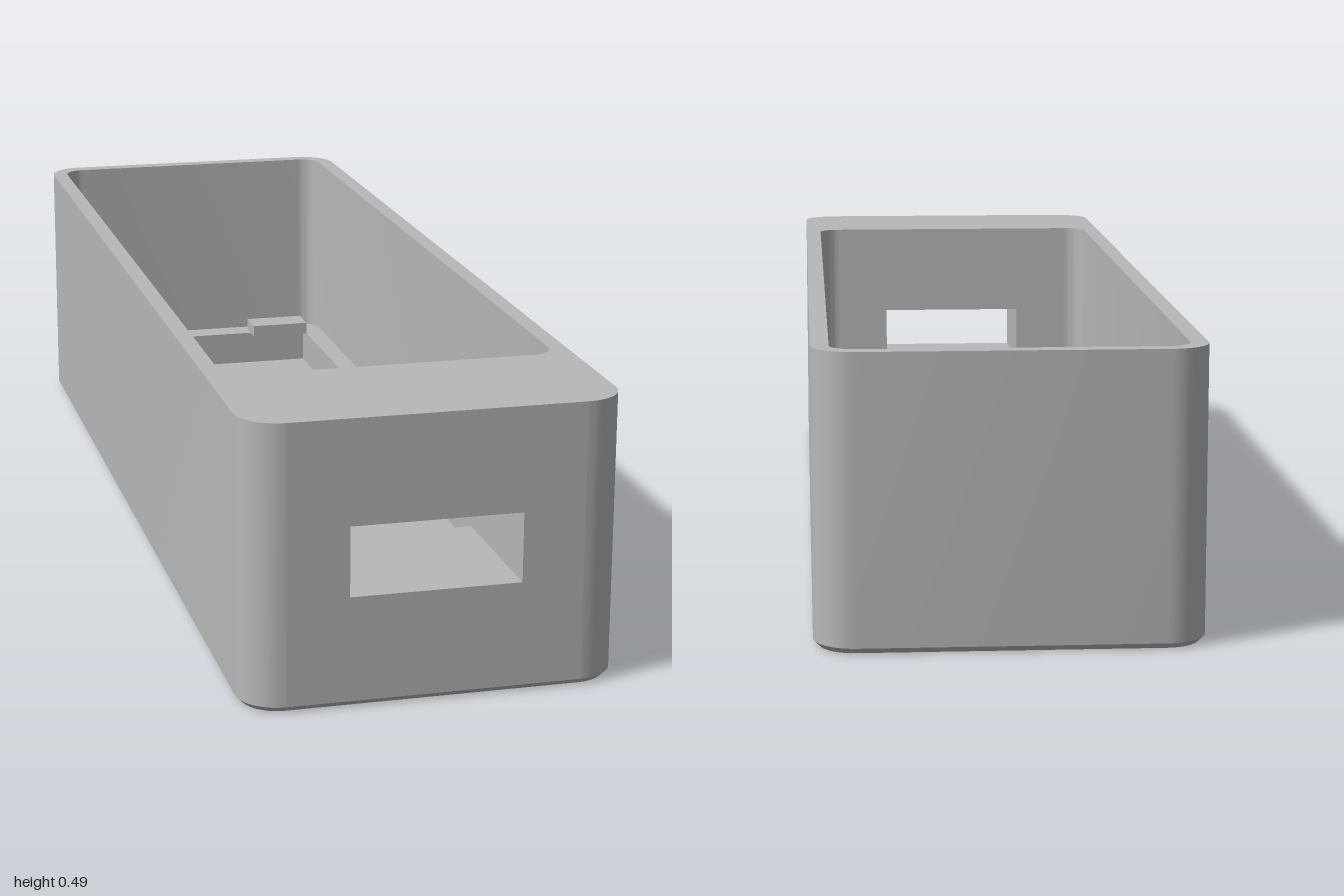
import * as THREE from 'three';
import { toCreasedNormals } from 'three/addons/utils/BufferGeometryUtils.js';

const HEIGHT = 0.49, CHAMFER = 0.01, FLOOR = 0.03, LEDGE = 0.1;

// Rounded rectangle in x/z; its closing segment is the straight front edge
function roundRect(x0, x1, z0, z1, r = 0) {
  const pts = [], steps = r ? 10 : 0;
  const corners = [[x1 - r, z1 - r], [x1 - r, z0 + r], [x0 + r, z0 + r], [x0 + r, z1 - r]];
  corners.forEach(([cx, cz], i) => {
    for (let k = 0; k <= steps; k++) {
      const a = (1 - i - (steps ? k / steps : 0)) * Math.PI / 2;
      pts.push(new THREE.Vector2(cx + r * Math.cos(a), cz + r * Math.sin(a)));
    }
  });
  return pts;
}

// Wall between two loops at two heights
function loft(lower, y0, upper, y1, { closed = true, inward = false } = {}) {
  const pos = [], n = lower.length;
  for (let i = 0; i < (closed ? n : n - 1); i++) {
    const j = (i + 1) % n;
    const a = [lower[i].x, y0, lower[i].y], b = [lower[j].x, y0, lower[j].y];
    const c = [upper[j].x, y1, upper[j].y], d = [upper[i].x, y1, upper[i].y];
    const tris = inward ? [a, c, b, a, d, c] : [a, b, c, a, c, d];
    tris.forEach(p => pos.push(...p));
  }
  const g = new THREE.BufferGeometry();
  g.setAttribute('position', new THREE.Float32BufferAttribute(pos, 3));
  return toCreasedNormals(g, 0.5);
}

// Flat horizontal face with holes
function cap(outline, holes, y) {
  const flip = pts => pts.map(p => new THREE.Vector2(p.x, -p.y));
  const s = new THREE.Shape(flip(outline));
  s.holes = holes.map(h => new THREE.Path(flip(h)));
  return new THREE.ShapeGeometry(s).rotateX(-Math.PI / 2).translate(0, y, 0);
}

// Upright plate facing z, pierced by the slot
function slottedPlate(halfWidth, y0, z) {
  const rect = (w, a, b) => [[-w, a], [w, a], [w, b], [-w, b]].map(p => new THREE.Vector2(...p));
  const s = new THREE.Shape(rect(halfWidth, y0, HEIGHT));
  s.holes = [new THREE.Path(rect(0.145, 0.19, 0.31))];
  return new THREE.ShapeGeometry(s).translate(0, 0, z);
}

export function createModel() {
  const group = new THREE.Group();
  const grey = new THREE.MeshStandardMaterial({ color: 0xb8b8b8, side: THREE.DoubleSide });
  grey.name = 'grey plastic';
  const add = (name, geometry) => {
    const m = new THREE.Mesh(geometry, grey);
    m.name = name;
    group.add(m);
    return m;
  };

  const outer = roundRect(-0.32, 0.32, -1, 1, 0.07);
  const foot = roundRect(-0.31, 0.31, -0.99, 0.99, 0.06);
  const cavity = roundRect(-0.29, 0.29, -0.97, 0.72, 0.04);
  const pockets = [[-0.915, -0.41], [-0.355, 0.15], [0.21, 0.715]]
    .map(([a, b]) => roundRect(-0.25, 0.25, a, b));
  const windows = [[-0.8, -0.56], [-0.24, 0], [0.33, 0.57]]
    .map(([a, b]) => roundRect(-0.215, 0.21, a, b));

  // Outer shell
  add('outerWall', loft(outer, CHAMFER, outer, HEIGHT, { closed: false }));
  add('frontFace', slottedPlate(0.25, CHAMFER, 1));
  add('bottomChamfer', loft(foot, 0, outer, CHAMFER));
  const under = cap(foot, windows, 0);
  under.scale(1, -1, 1);
  under.index.array.reverse();
  add('underside', under);
  add('rim', cap(outer, [cavity], HEIGHT));

  // Main cavity and ledge
  add('cavityWall', loft(cavity, LEDGE, cavity, HEIGHT, { closed: false, inward: true }));
  const inner = slottedPlate(0.25, LEDGE, 0);
  add('cavityFrontWall', inner.rotateY(Math.PI).translate(0, 0, 0.72));
  add('ledge', cap(cavity, pockets, LEDGE));

  // Slot tunnel through the thick front
  const slot = roundRect(-0.145, 0.145, -0.31, -0.19);
  add('slotTunnel', loft(slot, 0.72, slot, 1, { inward: true }).rotateX(Math.PI / 2));

  // Pockets with open windows in their floors
  pockets.forEach((p, i) => {
    add('pocketWall', loft(p, FLOOR, p, LEDGE, { inward: true }));
    add('pocketFloor', cap(p, [windows[i]], FLOOR));
    add('windowWall', loft(windows[i], 0, windows[i], FLOOR, { inward: true }));
  });

  // Retaining tabs at the pocket ends
  const tabs = [[-0.945, -0.88], [-0.425, -0.39], [-0.375, -0.315], [0.14, 0.18], [0.185, 0.25], [0.705, 0.72]];
  for (const [a, b] of tabs) {
    for (const side of [-1, 1]) {
      add('tab', new THREE.BoxGeometry(0.125, 0.025, b - a))
        .position.set(side * 0.1875, LEDGE + 0.0125, (a + b) / 2);
    }
  }
  return group;
}
